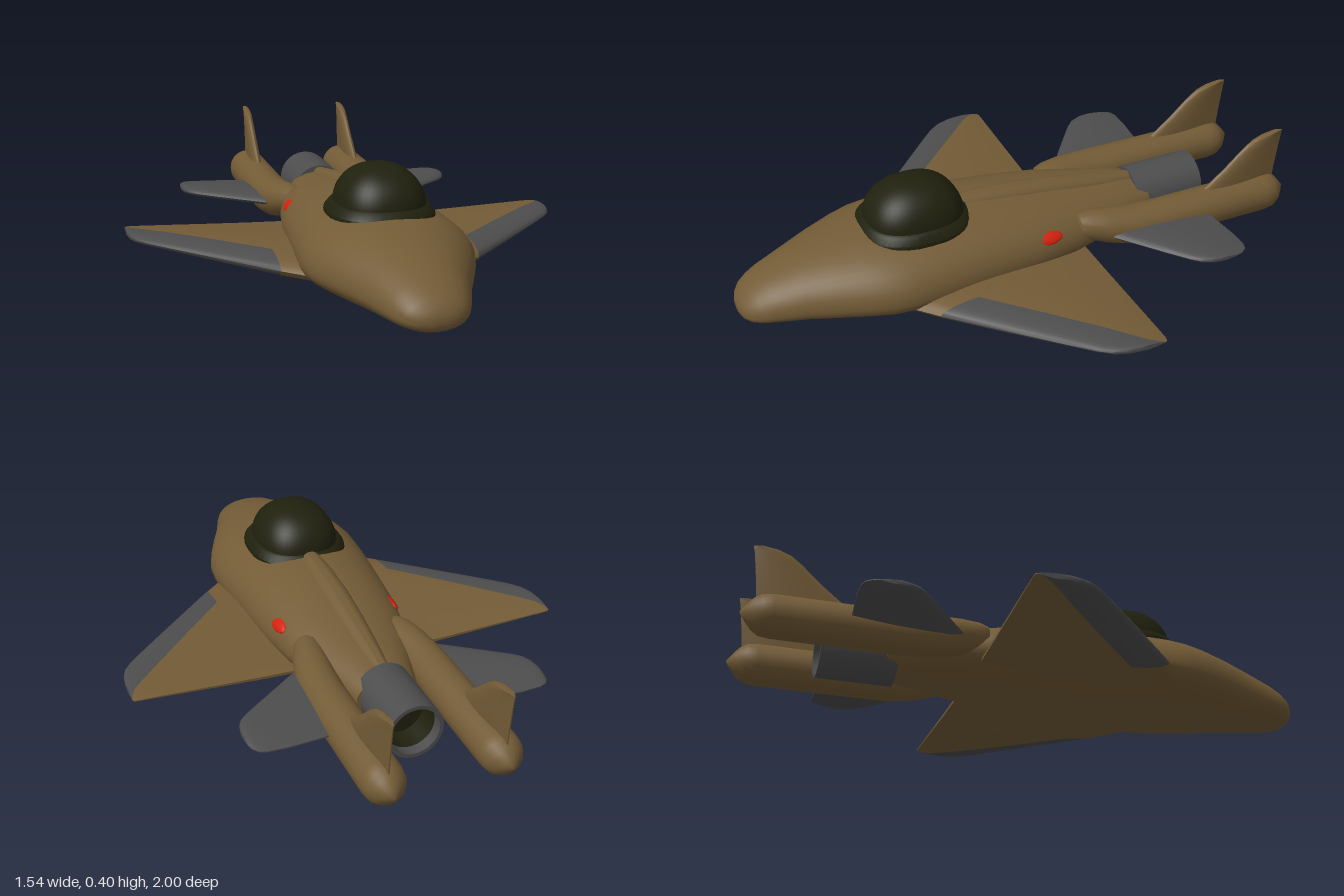
import * as THREE from 'three';
import { toCreasedNormals } from 'three/addons/utils/BufferGeometryUtils.js';

const material = (name, color) => {
  const m = new THREE.MeshStandardMaterial({ color });
  m.name = name;
  return m;
};

// Closed skin over a list of equal-length rings, capped at both ends and facing outward.
function loft(rings, crease = 0.7) {
  const centre = (r) => {
    const c = r.reduce((a, p) => a.add(p), new THREE.Vector3()).divideScalar(r.length);
    return r.map(() => c);
  };
  const all = [centre(rings[0]), ...rings, centre(rings[rings.length - 1])];
  const n = rings[0].length;
  const pts = all.flat();
  const index = [];
  for (let i = 0; i < all.length - 1; i++) {
    for (let j = 0; j < n; j++) {
      const a = i * n + j, b = i * n + (j + 1) % n;
      if (i > 0) index.push(a, b, a + n);
      if (i < all.length - 2) index.push(b, b + n, a + n);
    }
  }
  // flip the winding when the enclosed volume is negative
  let volume = 0;
  const t = new THREE.Vector3();
  for (let i = 0; i < index.length; i += 3) {
    volume += pts[index[i]].dot(t.crossVectors(pts[index[i + 1]], pts[index[i + 2]]));
  }
  if (volume < 0) index.reverse();
  const g = new THREE.BufferGeometry().setFromPoints(pts);
  g.setIndex(index);
  return toCreasedNormals(g, crease);
}

// Rounded ring; the callback places unit coordinates (a, b) in space.
function ring(place, exponent = 2, n = 40) {
  return Array.from({ length: n }, (_, i) => {
    const w = i / n * Math.PI * 2;
    const p = (v) => Math.sign(v) * Math.abs(v) ** (2 / exponent);
    return place(p(Math.cos(w)), p(Math.sin(w)));
  });
}

// Fuselage-like body: stations are [z, half width, bottom, widest height, top].
const hull = (stations) => loft(stations.map(([z, w, lo, mid, hi]) =>
  ring((a, b) => new THREE.Vector3(a * w, mid + b * (b > 0 ? hi - mid : mid - lo), z), 2.1)));

// Lifting surface: stations are [span, front z, rear z, half thickness, offset, split z].
// part: 'all', 'front' (ahead of the split) or 'rear' (behind it).
function foil(stations, place, part = 'all') {
  const steps = 10;
  return loft(stations.map(([span, front, rear, half, offset, split]) => {
    const cut = split === undefined ? 0 : (split - front) / (rear - front);
    const u0 = part === 'rear' ? cut : 0;
    const u1 = part === 'front' ? cut : 1;
    const side = (dir) => Array.from({ length: steps + 1 }, (_, i) => {
      const u = u0 + (u1 - u0) * (i / steps) ** 1.6;
      const h = half * (Math.sqrt(u) * (1 - u) * 2.5 + 0.12 * u);
      return place(span, front + (rear - front) * u, offset + dir * h);
    });
    return [...side(1), ...side(-1).reverse()];
  }), 0.6);
}

export function createModel() {
  const brown = material('brown paint', 0x735b36);
  const grey = material('dark grey', 0x4d4d4d);
  const olive = material('dark olive glass', 0x1f200d);
  const red = material('red marking', 0xd4200c);
  const model = new THREE.Group();
  model.name = 'aircraft';
  const add = (name, geometry, mat) => {
    const mesh = new THREE.Mesh(geometry, mat);
    mesh.name = name;
    model.add(mesh);
    return mesh;
  };

  // Fuselage and the ridge along its back
  add('fuselage', hull([
    [1, 0.03, 0.05, 0.068, 0.085], [0.99, 0.065, 0.036, 0.068, 0.105], [0.97, 0.095, 0.029, 0.07, 0.127],
    [0.94, 0.116, 0.025, 0.073, 0.149], [0.9, 0.133, 0.022, 0.078, 0.17], [0.8, 0.168, 0.016, 0.088, 0.205],
    [0.7, 0.212, 0.011, 0.096, 0.231], [0.6, 0.253, 0.007, 0.1, 0.251], [0.53, 0.276, 0.004, 0.102, 0.26],
    [0.46, 0.283, 0.002, 0.103, 0.266], [0.35, 0.277, 0, 0.104, 0.271], [0.2, 0.263, 0.001, 0.105, 0.272],
    [0, 0.244, 0.006, 0.106, 0.255], [-0.15, 0.22, 0.016, 0.108, 0.235], [-0.3, 0.175, 0.03, 0.11, 0.21],
    [-0.42, 0.13, 0.04, 0.112, 0.195], [-0.5, 0.108, 0.045, 0.112, 0.18],
  ]), brown);
  add('dorsalRidge', hull([
    [0.24, 0.035, 0.2, 0.24, 0.284], [0.1, 0.046, 0.2, 0.24, 0.284], [-0.05, 0.05, 0.19, 0.225, 0.271],
    [-0.2, 0.048, 0.17, 0.2, 0.248], [-0.35, 0.04, 0.15, 0.18, 0.222], [-0.47, 0.028, 0.13, 0.16, 0.203],
  ]), brown);

  // Canopy frame and dome
  const plan = (y, w, l) => ring((a, b) => new THREE.Vector3(a * w, y, 0.365 + b * l), 2.5);
  add('canopyFrame', loft([
    [0.2, 0.165, 0.19], [0.235, 0.175, 0.199], [0.25, 0.173, 0.195], [0.272, 0.157, 0.176], [0.28, 0.14, 0.16],
  ].map((r) => plan(...r)), 0.5), olive);
  add('canopyDome', loft(Array.from({ length: 13 }, (_, i) => {
    const w = i / 12 * 1.52, r = Math.cos(w) ** 0.9;
    return plan(0.262 + 0.138 * Math.sin(w), 0.147 * r, 0.17 * r);
  })), olive);

  // Exhaust nozzle with a dark throat
  const lathe = (points) => toCreasedNormals(new THREE.LatheGeometry(
    points.map((p) => new THREE.Vector2(...p)), 40), 0.6).rotateX(-Math.PI / 2).translate(0, 0.113, 0);
  add('nozzle', lathe([[0, 0.46], [0.097, 0.46], [0.097, 0.72], [0.084, 0.72], [0.084, 0.68]]), grey);
  add('nozzleThroat', lathe([[0.084, 0.68], [0.08, 0.6], [0, 0.6]]), olive);

  for (const s of [1, -1]) {
    const side = s > 0 ? 'left' : 'right';
    const flat = (span, z, t) => new THREE.Vector3(s * span, t, z);
    const upright = (span, z, t) => new THREE.Vector3(s * (0.195 + t), span, z);

    // Main wing: brown panels with a grey leading edge
    const inner = [[0.12, 0.6, -0.2, 0.045, 0.064], [0.335, 0.405, -0.2, 0.039, 0.07]];
    const outer = [
      [0.335, 0.405, -0.2, 0.039, 0.07, 0.27], [0.5, 0.245, -0.2, 0.03, 0.077, 0.105],
      [0.65, 0.098, -0.2, 0.021, 0.084, -0.045], [0.72, 0.028, -0.2, 0.016, 0.087, -0.112],
      [0.75, -0.012, -0.2, 0.014, 0.088, -0.145], [0.764, -0.05, -0.198, 0.012, 0.088, -0.17],
      [0.77, -0.09, -0.192, 0.009, 0.088, -0.185],
    ];
    add(side + 'WingRoot', foil(inner, flat), brown);
    add(side + 'WingPanel', foil(outer, flat, 'rear'), brown);
    add(side + 'WingLeadingEdge', foil(outer, flat, 'front'), grey);

    // Tail boom with rounded front and pointed end: [z, x, y, radius]
    add(side + 'TailBoom', loft([
      [-0.17, 0.165, 0.152, 0.02], [-0.18, 0.165, 0.152, 0.04], [-0.21, 0.168, 0.148, 0.052],
      [-0.28, 0.18, 0.134, 0.064], [-0.36, 0.19, 0.121, 0.07], [-0.45, 0.195, 0.115, 0.072],
      [-0.9, 0.195, 0.115, 0.072], [-0.935, 0.195, 0.115, 0.067], [-0.96, 0.195, 0.115, 0.052],
      [-0.982, 0.195, 0.115, 0.026], [-1, 0.195, 0.115, 0.002],
    ].map(([z, x, y, r]) => ring((a, b) => new THREE.Vector3(s * (x + a * r), y + b * r, z), 2, 28))), brown);

    // Upright fin on the boom
    add(side + 'Fin', foil([
      [0.15, -0.63, -0.95, 0.018, 0], [0.19, -0.67, -0.953, 0.018, 0], [0.25, -0.745, -0.959, 0.017, 0],
      [0.31, -0.81, -0.966, 0.015, 0], [0.34, -0.85, -0.97, 0.014, 0], [0.353, -0.885, -0.973, 0.012, 0],
      [0.36, -0.93, -0.973, 0.009, 0],
    ], upright), brown);

    // Tailplane
    add(side + 'Tailplane', foil([
      [0.18, -0.23, -0.64, 0.02, 0.122], [0.25, -0.285, -0.652, 0.02, 0.123], [0.4, -0.4, -0.665, 0.018, 0.126],
      [0.47, -0.455, -0.664, 0.016, 0.128], [0.495, -0.48, -0.655, 0.014, 0.129],
      [0.51, -0.51, -0.635, 0.011, 0.129], [0.516, -0.54, -0.61, 0.007, 0.129],
    ], flat), grey);

    // Red oval on the shoulder
    const oval = add(side + 'Marking', new THREE.SphereGeometry(1, 24, 16), red);
    oval.scale.set(0.01, 0.024, 0.058);
    oval.position.set(s * 0.21, 0.167, -0.04);
    oval.rotation.z = s * 0.75;
  }
  return model;
}
